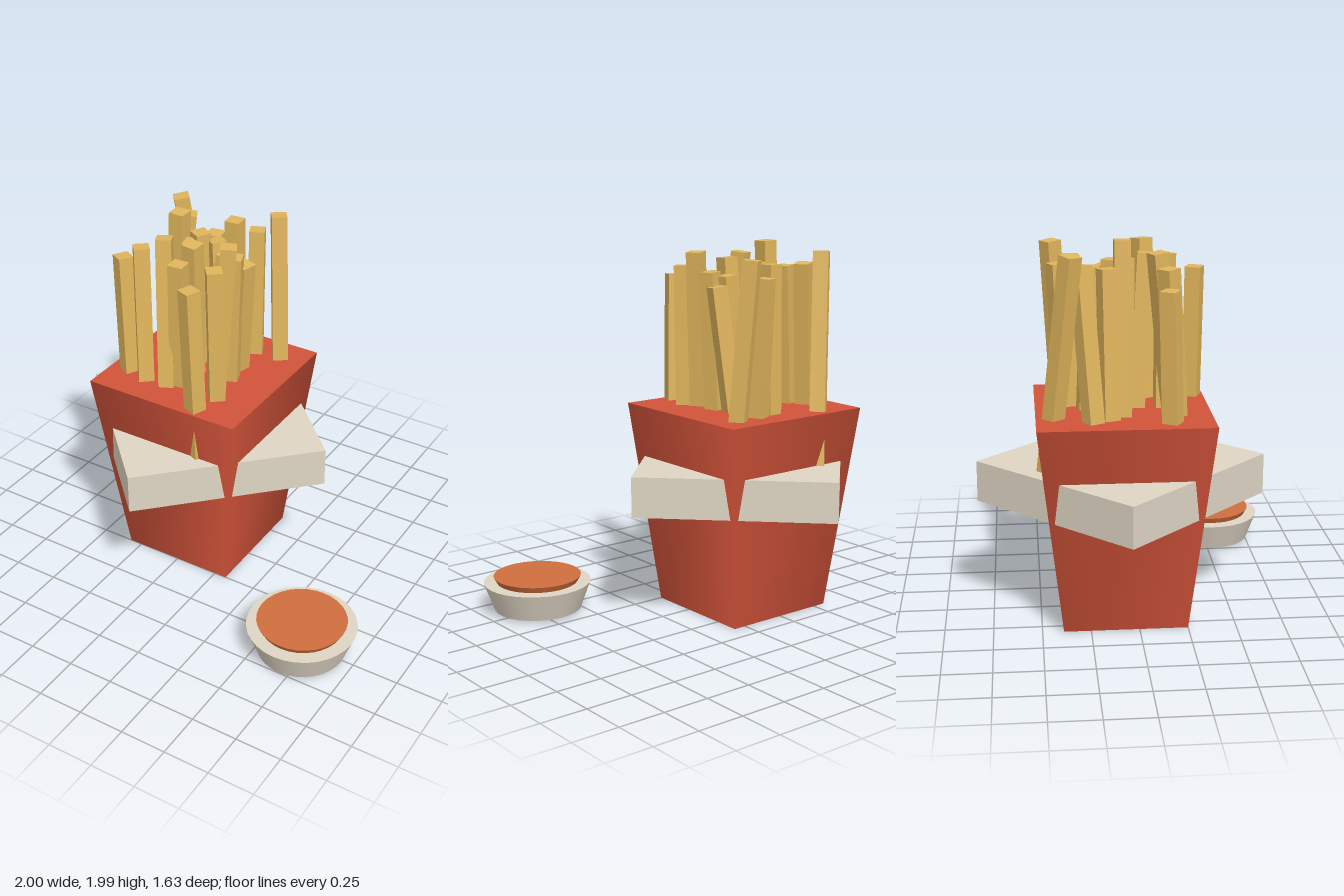
import * as THREE from 'three';

const mat = (name, color) => {
  const m = new THREE.MeshStandardMaterial({ color });
  m.name = name;
  return m;
};

// Each fry: top x, top y, top z, shift of x and z down to the carton rim, turn in degrees
const FRIES = [
  [-0.56, 1.94, -0.335, 0.09, -0.09, 40], [-0.475, 1.88, -0.285, -0.075, 0.055, 30],
  [-0.46, 1.86, -0.155, -0.04, 0.01, 20], [-0.395, 1.99, -0.075, -0.04, 0, 0],
  [-0.315, 1.85, -0.06, -0.01, -0.01, 15], [-0.3, 1.88, -0.12, 0, -0.015, -30],
  [-0.275, 1.84, -0.225, -0.01, -0.03, 10], [-0.215, 1.89, -0.32, 0, -0.01, 5],
  [-0.225, 1.84, -0.155, 0.05, 0.03, -35], [-0.118, 1.83, -0.39, 0.01, 0.03, 25],
  [-0.005, 1.93, -0.417, 0.045, 0.045, 35], [-0.03, 1.77, -0.112, -0.065, -0.05, -15],
  [-0.118, 1.82, -0.08, -0.05, 0, 5], [-0.043, 1.84, -0.037, -0.03, -0.01, 20],
  [-0.022, 1.94, 0.053, -0.05, 0.03, 30], [-0.032, 1.86, 0.176, 0, -0.015, 40],
  [-0.086, 1.8, 0.322, 0.016, -0.01, -22], [-0.235, 1.9, 0.055, -0.03, -0.045, -5],
  [-0.265, 1.82, 0.145, -0.01, -0.005, 5], [-0.375, 1.92, 0.102, 0.045, 0.08, 25],
  [-0.49, 1.86, 0.145, 0.03, 0.045, 40], [-0.61, 1.775, 0.14, 0.025, 0.02, -30],
];
const RIM = 1.11, FRY_END = 0.7, FRY_WIDTH = 0.082;

export function createModel() {
  const model = new THREE.Group();
  const red = mat('carton red', 0xd2533a);
  const cream = mat('paper cream', 0xdfd5c4);
  const gold = mat('fry gold', 0xe0b55c);
  const orange = mat('sauce orange', 0xd06f3e);

  const add = (name, geometry, material, x, y, z) => {
    const mesh = new THREE.Mesh(geometry, material);
    mesh.name = name;
    mesh.position.set(x, y, z);
    model.add(mesh);
    return mesh;
  };

  // Tapered square carton with softly shaded sides
  const carton = new THREE.CylinderGeometry(0.629, 0.453, RIM, 4);
  add('carton', carton, red, -0.25, RIM / 2, -0.07).rotation.y = Math.PI / 4;

  // Square band set diagonally through the carton
  const side = 0.75 * Math.SQRT2;
  add('band', new THREE.BoxGeometry(side, 0.215, side), cream, -0.25, 0.72, -0.07).rotation.y = Math.PI / 4;

  // Leaning fries
  const fries = new THREE.Group();
  fries.name = 'fries';
  model.add(fries);
  const up = new THREE.Vector3(0, 1, 0);
  for (const [x, y, z, dx, dz, turn] of FRIES) {
    const top = new THREE.Vector3(x, y, z);
    const slope = (y - FRY_END) / (y - RIM);
    const end = new THREE.Vector3(x + dx * slope, FRY_END, z + dz * slope);
    const fry = new THREE.Mesh(new THREE.BoxGeometry(FRY_WIDTH, top.distanceTo(end), FRY_WIDTH), gold);
    fry.name = 'fry';
    fry.position.copy(top).lerp(end, 0.5);
    fry.quaternion.setFromUnitVectors(up, top.clone().sub(end).normalize());
    fry.rotateY(THREE.MathUtils.degToRad(turn));
    fries.add(fry);
  }

  // Dip cup and the sauce standing just above it
  add('dipCup', new THREE.CylinderGeometry(0.29, 0.235, 0.15, 32), cream, 0.707, 0.09, 0.525);
  add('sauce', new THREE.CylinderGeometry(0.237, 0.205, 0.06, 32), orange, 0.707, 0.168, 0.525);

  return model;
}
